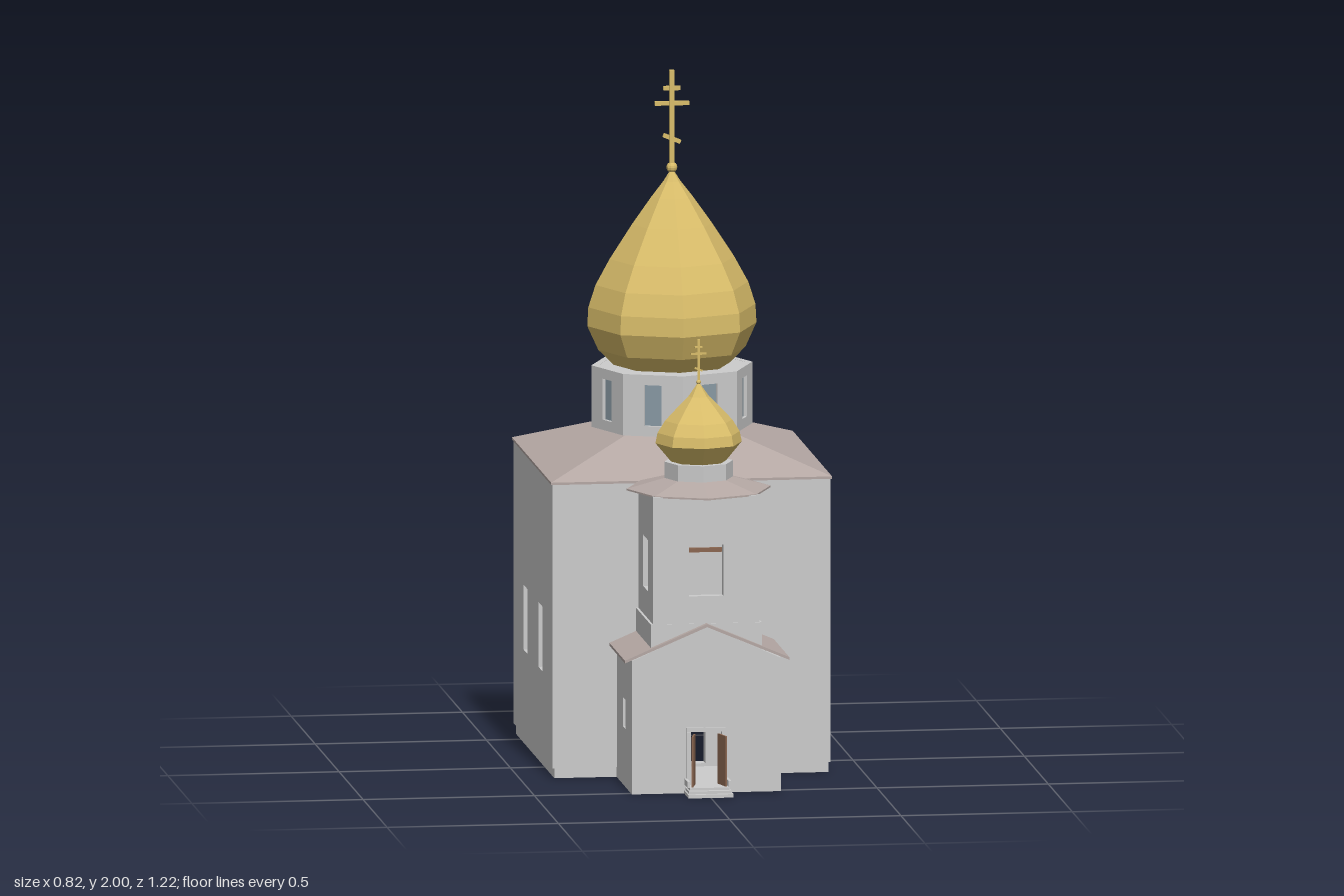
import * as THREE from 'three';

const mat = (color) => new THREE.MeshStandardMaterial({ color, flatShading: true });
const stone = mat(0xcccccc), roofMat = mat(0xb5a8a4), gold = mat(0xd9bd6a);
const glass = mat(0x8a9ba5), wood = mat(0x8a6650);

function add(parent, name, geometry, material, x = 0, y = 0, z = 0) {
  const mesh = new THREE.Mesh(geometry, material);
  mesh.name = name;
  mesh.position.set(x, y, z);
  parent.add(mesh);
  return mesh;
}

function box(parent, name, material, x0, x1, y0, y1, z0, z1) {
  return add(parent, name, new THREE.BoxGeometry(x1 - x0, y1 - y0, z1 - z0), material,
    (x0 + x1) / 2, (y0 + y1) / 2, (z0 + z1) / 2);
}

// Wall slab with its outer face on z = 0; openings are [centreX, bottom, width, height]
function wall(name, w, h, thick, openings = [], glazed = true, peak = 0) {
  const group = new THREE.Group();
  group.name = name;
  const shape = new THREE.Shape();
  shape.moveTo(-w / 2, 0);
  shape.lineTo(w / 2, 0);
  shape.lineTo(w / 2, h);
  if (peak) shape.lineTo(0, peak);
  shape.lineTo(-w / 2, h);
  shape.closePath();
  for (const [cx, y, ow, oh] of openings) {
    const hole = new THREE.Path();
    hole.moveTo(cx - ow / 2, y);
    hole.lineTo(cx - ow / 2, y + oh);
    hole.lineTo(cx + ow / 2, y + oh);
    hole.lineTo(cx + ow / 2, y);
    hole.closePath();
    shape.holes.push(hole);
    if (glazed) add(group, 'windowPane', new THREE.BoxGeometry(ow, oh, 0.004), glass, cx, y + oh / 2, -thick * 0.6);
  }
  const geometry = new THREE.ExtrudeGeometry(shape, { depth: thick, bevelEnabled: false });
  add(group, 'wallSlab', geometry.translate(0, 0, -thick), stone);
  return group;
}

// Puts a wall at a distance from a centre, facing the given angle (0 = front)
function place(parent, panel, angle, dist, y, cz) {
  panel.rotation.y = angle;
  panel.position.set(Math.sin(angle) * dist, y, cz + Math.cos(angle) * dist);
  parent.add(panel);
}

// Faceted onion dome, ball and three-barred cross
function onion(parent, name, profile, z, crossHeight, s) {
  const group = new THREE.Group();
  group.name = name;
  group.position.z = z;
  parent.add(group);
  const points = profile.map(([r, y]) => new THREE.Vector2(r, y));
  add(group, 'onionDome', new THREE.LatheGeometry(points, 8), gold);
  const top = profile[profile.length - 1][1];
  add(group, 'ball', new THREE.SphereGeometry(0.016 * s, 10, 8), gold, 0, top + 0.01 * s, 0);
  const t = 0.007 * s;
  box(group, 'crossPost', gold, -t, t, top, top + crossHeight, -t, t);
  const bars = [[0.82, 0.025, 0], [0.67, 0.05, 0], [0.32, 0.027, -0.4]];
  for (const [f, half, tilt] of bars) {
    const bar = add(group, 'crossBar', new THREE.BoxGeometry(2 * half * s, 0.012 * s, 0.012 * s), gold,
      0, top + crossHeight * f, 0);
    bar.rotation.z = tilt;
  }
}

export function createModel() {
  const model = new THREE.Group();
  model.name = 'church';
  const Q = Math.PI / 2, mainZ = -0.2, towerZ = 0.355;

  // Main hall: hollow, open below, on a slightly narrower plinth
  const windows = [[-0.155, 0.25, 0.08, 0.19], [0.155, 0.25, 0.08, 0.19]];
  for (let i = 0; i < 4; i++) {
    const openings = i === 0 ? [[0, 0.0, 0.08, 0.15]].map(([a, b, c, d]) => [a, b + 0.005, c, d]) : windows;
    place(model, wall('hallWall', 0.812, 0.835, 0.04, openings, i > 0), i * Q, 0.406, 0.03, mainZ);
    place(model, wall('plinth', 0.8, 0.03, 0.025), i * Q, 0.4, 0, mainZ);
  }
  box(model, 'hallEave', roofMat, -0.41, 0.41, 0.86, 0.867, mainZ - 0.412, mainZ + 0.408);
  add(model, 'hallRoof', new THREE.CylinderGeometry(0.155 * Math.SQRT2, 0.41 * Math.SQRT2, 0.094, 4, 1, false, Math.PI / 4),
    roofMat, 0, 0.914, mainZ - 0.002);

  // Large octagonal drum with a window on each side
  const drumR = 0.235, faceW = 2 * drumR * Math.sin(Math.PI / 8);
  for (let i = 0; i < 8; i++) {
    place(model, wall('drumWall', faceW, 0.18, 0.02, [[0, 0.03, 0.052, 0.12]]),
      (i + 0.5) * Math.PI / 4, drumR * Math.cos(Math.PI / 8), 0.96, mainZ - 0.005);
  }
  for (const y of [0.964, 1.136])
    add(model, 'drumPlate', new THREE.CylinderGeometry(0.232, 0.232, 0.007, 8), stone, 0, y, mainZ - 0.005);
  onion(model, 'mainDome', [[0.17, 1.14], [0.215, 1.185], [0.247, 1.255], [0.244, 1.31], [0.223, 1.375],
    [0.182, 1.45], [0.117, 1.55], [0.06, 1.63], [0.025, 1.675], [0.006, 1.705]], mainZ - 0.005, 0.295, 1);

  // Porch with gabled front
  const porchFront = wall('porchFront', 0.436, 0.39, 0.025, [[0, 0.025, 0.09, 0.155]], false, 0.488);
  place(model, porchFront, 0, 0.518, 0, 0);
  for (const side of [-1, 1]) {
    place(model, wall('porchSide', 0.315, 0.39, 0.025, [[0, 0.17, 0.05, 0.085]]), side * Q, 0.218, 0, 0.36);
  }
  box(model, 'porchFloor', stone, -0.217, 0.217, 0.001, 0.025, 0.2, 0.517);
  const chevron = new THREE.Shape([[-0.24, 0.386], [0, 0.487], [0.24, 0.386], [0.24, 0.394], [0, 0.496], [-0.24, 0.394]]
    .map(([x, y]) => new THREE.Vector2(x, y)));
  add(model, 'porchRoof', new THREE.ExtrudeGeometry(chevron, { depth: 0.327, bevelEnabled: false }), roofMat, 0, 0, 0.203);

  // Steps, kerbs, door frame and open door leaves
  box(model, 'lowerStep', stone, -0.066, 0.066, 0, 0.01, 0.518, 0.613);
  box(model, 'middleStep', stone, -0.062, 0.062, 0.01, 0.018, 0.518, 0.6);
  box(model, 'upperStep', stone, -0.058, 0.058, 0.018, 0.025, 0.518, 0.583);
  box(model, 'doorLintel', stone, -0.058, 0.058, 0.18, 0.192, 0.515, 0.526);
  for (const side of [-1, 1]) {
    add(model, 'doorJamb', new THREE.BoxGeometry(0.012, 0.155, 0.011), stone, side * 0.052, 0.102, 0.521);
    add(model, 'kerb', new THREE.BoxGeometry(0.008, 0.018, 0.06), stone, side * 0.06, 0.034, 0.548);
    const leaf = add(model, 'doorLeaf', new THREE.BoxGeometry(0.005, 0.147, 0.058), wood, side * 0.042, 0.1, 0.547);
    leaf.rotation.y = side * 0.25;
  }

  // Bell tower: square, hollow, with open arches on three sides
  box(model, 'towerBase', stone, -0.162, 0.162, 0.4, 0.495, 0.2, 0.512);
  const bellOpening = [[0, 0.08, 0.1, 0.15]];
  place(model, wall('towerFront', 0.31, 0.372, 0.025, bellOpening, false), 0, 0.155, 0.495, towerZ);
  for (const side of [-1, 1])
    place(model, wall('towerSide', 0.31, 0.372, 0.025, bellOpening, false), side * Q, 0.155, 0.495, towerZ);
  box(model, 'bellBeam', wood, -0.14, 0.14, 0.679, 0.691, 0.349, 0.361);

  // Octagonal tower roof, small drum and small dome
  add(model, 'towerRoof', new THREE.CylinderGeometry(0.1, 0.21, 0.03, 8), roofMat, 0, 0.883, 0.352);
  add(model, 'towerEave', new THREE.CylinderGeometry(0.21, 0.21, 0.005, 8), roofMat, 0, 0.866, 0.352);
  add(model, 'smallDrum', new THREE.CylinderGeometry(0.1, 0.1, 0.055, 8), stone, 0, 0.918, 0.352);
  onion(model, 'smallDome', [[0.08, 0.945], [0.126, 1.0], [0.12, 1.03], [0.098, 1.065], [0.065, 1.1],
    [0.03, 1.135], [0.004, 1.172]], 0.352, 0.13, 0.45);

  return model;
}
